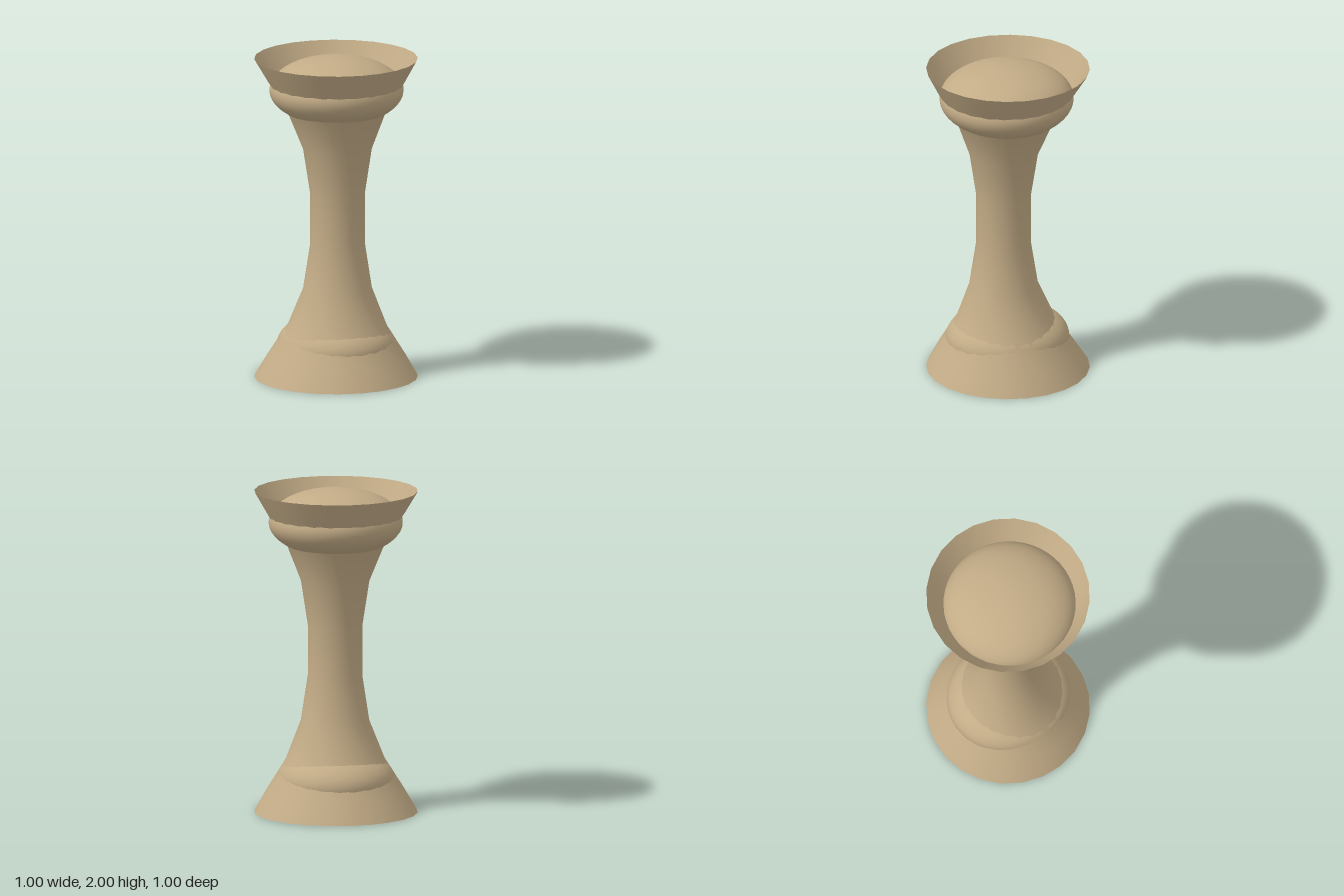
import * as THREE from 'three';

export function createModel() {
  const group = new THREE.Group();
  const material = new THREE.MeshStandardMaterial({ color: 0xc2ab86, side: THREE.DoubleSide });
  const add = (name, geometry) => {
    const mesh = new THREE.Mesh(geometry, material);
    mesh.name = name;
    group.add(mesh);
    return mesh;
  };

  // Half profile of the column: radius, height, forward shift; mirrored about mid-height
  const height = 1.99;
  const half = [
    [0.5, 0, 0], [0.422, 0.135, 0.01], [0.305, 0.32, 0.018],
    [0.21, 0.56, 0.03], [0.167, 0.84, 0.031],
  ];
  const rings = [...half, ...half.map(([r, y, z]) => [r, height - y, z]).reverse()];

  // Open waisted column, leaning slightly forward in the middle
  const column = new THREE.LatheGeometry(rings.map(([r, y]) => new THREE.Vector2(r, y)), 24);
  const pos = column.attributes.position;
  for (let i = 0; i < pos.count; i++) {
    pos.setZ(i, pos.getZ(i) + rings[i % rings.length][2]);
  }
  add('column', column);

  // Flattened balls set in the two flared ends
  const addBall = (name, radii, y, z) => {
    const ball = add(name, new THREE.SphereGeometry(1, 48, 32));
    ball.scale.set(...radii);
    ball.position.set(0, y, z);
  };
  addBall('topCushion', [0.41, 0.205, 0.41], 1.795, 0.01);
  addBall('baseCushion', [0.36, 0.2, 0.383], 0.2, 0.005);

  return group;
}
